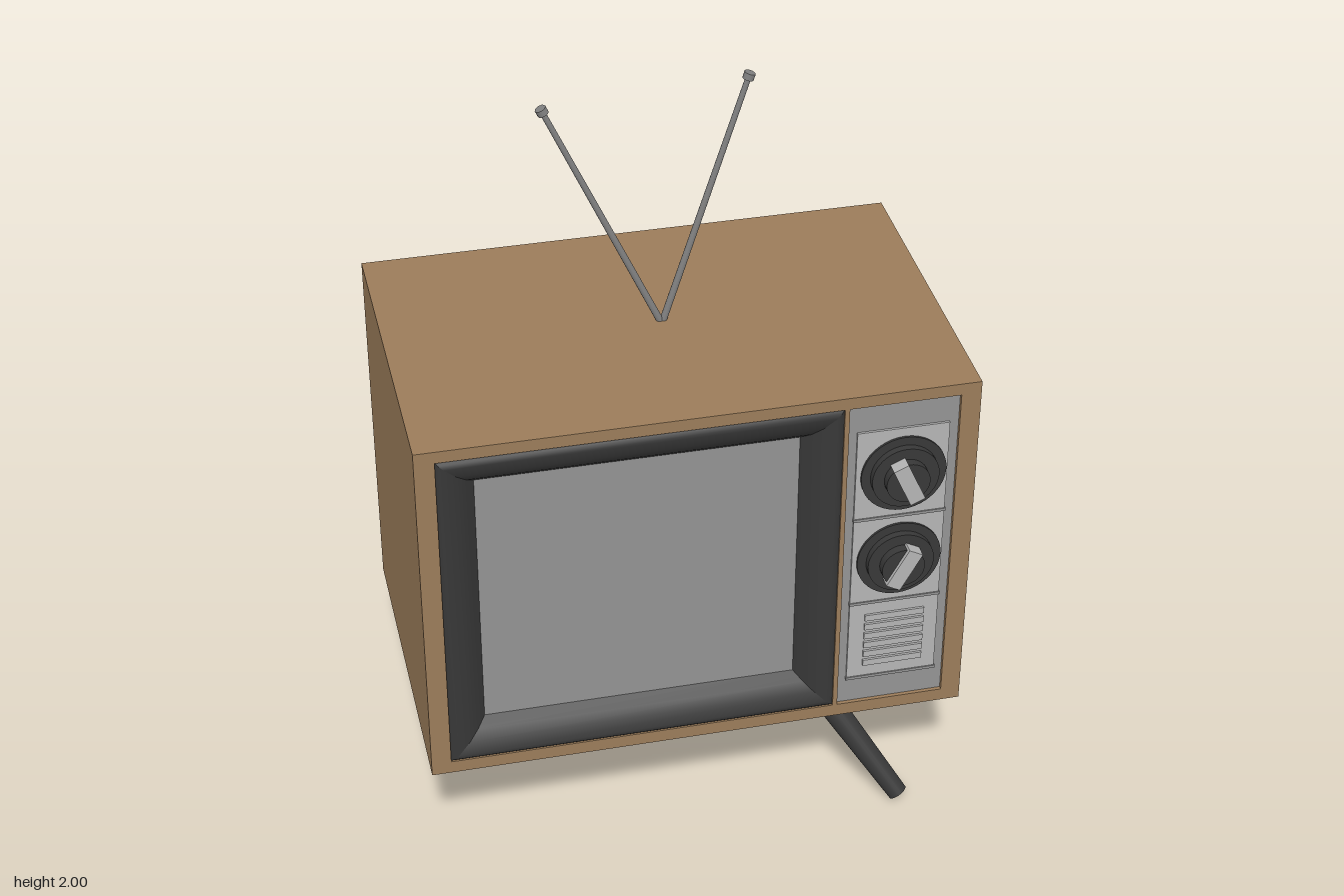
import * as THREE from 'three';

const mat = (name, color, extra = {}) => Object.assign(new THREE.MeshStandardMaterial({ color, ...extra }), { name });

export function createModel() {
  const wood = mat('wood', 0x9b7c5a);
  const dark = mat('dark plastic', 0x383838);
  const glass = mat('screen grey', 0x929292);
  const panelGrey = mat('panel grey', 0x949494);
  const light = mat('light plate', 0xb5b5b5);
  const steel = mat('antenna metal', 0x808080);

  const model = new THREE.Group();
  model.name = 'television';
  const add = (name, geo, material, x = 0, y = 0, z = 0, parent = model) => {
    const m = new THREE.Mesh(geo, material);
    m.name = name;
    m.position.set(x, y, z);
    parent.add(m);
    return m;
  };
  // box given by its extents
  const slab = (name, material, x0, x1, y0, y1, z0, z1) =>
    add(name, new THREE.BoxGeometry(x1 - x0, y1 - y0, z1 - z0), material, (x0 + x1) / 2, (y0 + y1) / 2, (z0 + z1) / 2);
  // tapered rod between two points
  const rod = (name, material, a, b, ra, rb, sides) => {
    const d = b.clone().sub(a);
    const m = add(name, new THREE.CylinderGeometry(rb, ra, d.length(), sides), material);
    m.position.copy(a).addScaledVector(d, 0.5);
    m.quaternion.setFromUnitVectors(new THREE.Vector3(0, 1, 0), d.normalize());
    return m;
  };
  const V = (x, y, z) => new THREE.Vector3(x, y, z);

  // cabinet: one extruded frame, closed at the back by a solid block
  const rect = (P, x0, y0, x1, y1) => {
    const p = new P();
    p.moveTo(x0, y0).lineTo(x1, y0).lineTo(x1, y1).lineTo(x0, y1).closePath();
    return p;
  };
  const outline = rect(THREE.Shape, -0.69, 0.345, 0.69, 1.332);
  outline.holes.push(rect(THREE.Path, -0.64, 0.38, 0.64, 1.3));
  add('cabinetFrame', new THREE.ExtrudeGeometry(outline, { depth: 0.865, bevelEnabled: false }), wood, 0, 0, -0.46);
  slab('cabinetCore', wood, -0.64, 0.64, 0.38, 1.3, -0.46, 0.34);
  slab('divider', wood, 0.35, 0.362, 0.38, 1.3, 0.34, 0.405);

  // bezel: four curved sides sloping in to the screen
  const profile = [[0, 0.4], [0.008, 0.408], [0.02, 0.41], [0.05, 0.4], [0.075, 0.382], [0.098, 0.355]];
  const ring = (inset) => [
    [-0.64 + inset, 0.38 + inset], [0.35 - inset, 0.38 + inset],
    [0.35 - inset, 1.3 - inset], [-0.64 + inset, 1.3 - inset],
  ];
  const pos = [], idx = [];
  for (let side = 0; side < 4; side++) {
    const base = pos.length / 3;
    profile.forEach(([inset, z], i) => {
      const c = ring(inset);
      pos.push(...c[side], z, ...c[(side + 1) % 4], z);
      if (i) {
        const k = base + i * 2;
        idx.push(k - 2, k - 1, k + 1, k - 2, k + 1, k);
      }
    });
  }
  const bezel = new THREE.BufferGeometry();
  bezel.setAttribute('position', new THREE.Float32BufferAttribute(pos, 3));
  bezel.setIndex(idx);
  bezel.computeVertexNormals();
  add('bezel', bezel, dark);
  slab('screen', glass, -0.545, 0.255, 0.475, 1.205, 0.335, 0.357);

  // control panel with three lighter plates and thin ridges between them
  slab('controlPanel', panelGrey, 0.362, 0.64, 0.38, 1.3, 0.34, 0.395);
  for (const [y0, y1] of [[0.463, 0.695], [0.703, 0.957], [0.965, 1.222]]) {
    slab('controlPlate', light, 0.385, 0.617, y0, y1, 0.394, 0.401);
  }
  for (const y of [0.459, 0.699, 0.961]) {
    slab('plateRidge', panelGrey, 0.383, 0.619, y - 0.004, y + 0.004, 0.394, 0.404);
  }

  // speaker grille bars
  for (let i = 0; i < 6; i++) {
    const y = 0.507 + i * 0.029;
    slab('grilleBar', light, 0.425, 0.58, y - 0.009, y + 0.009, 0.4, 0.407);
  }

  // stepped dials, each with a light pointer bar
  const dial = (y, tilt) => {
    const g = new THREE.Group();
    g.name = 'dial';
    g.position.set(0.505, y, 0);
    model.add(g);
    for (const [r, z0, z1] of [[0.108, 0.398, 0.407], [0.085, 0.405, 0.425], [0.055, 0.42, 0.448]]) {
      add('dialStep', new THREE.CylinderGeometry(r, r, z1 - z0, 40).rotateX(Math.PI / 2), dark, 0, 0, (z0 + z1) / 2, g);
    }
    add('dialPointer', new THREE.BoxGeometry(0.04, 0.115, 0.033), light, 0, 0, 0.4415, g).rotation.z = tilt;
  };
  dial(1.09, 0.42);
  dial(0.83, -0.5);

  // two splayed tapered legs on opposite corners
  rod('frontLeg', dark, V(0.549, 0.018, 0.379), V(0.31, 0.372, 0.2), 0.026, 0.037, 24);
  rod('backLeg', dark, V(-0.549, 0.018, -0.406), V(-0.31, 0.372, -0.227), 0.026, 0.037, 24);

  // antenna rods with small end caps
  for (const tip of [V(-0.291, 1.958, -0.033), V(0.214, 1.994, -0.033)]) {
    const foot = V(0, 1.32, -0.033);
    rod('antennaRod', steel, foot, tip, 0.009, 0.007, 12);
    rod('antennaTip', steel, foot.clone().lerp(tip, 0.976), tip, 0.014, 0.014, 12);
  }
  return model;
}
